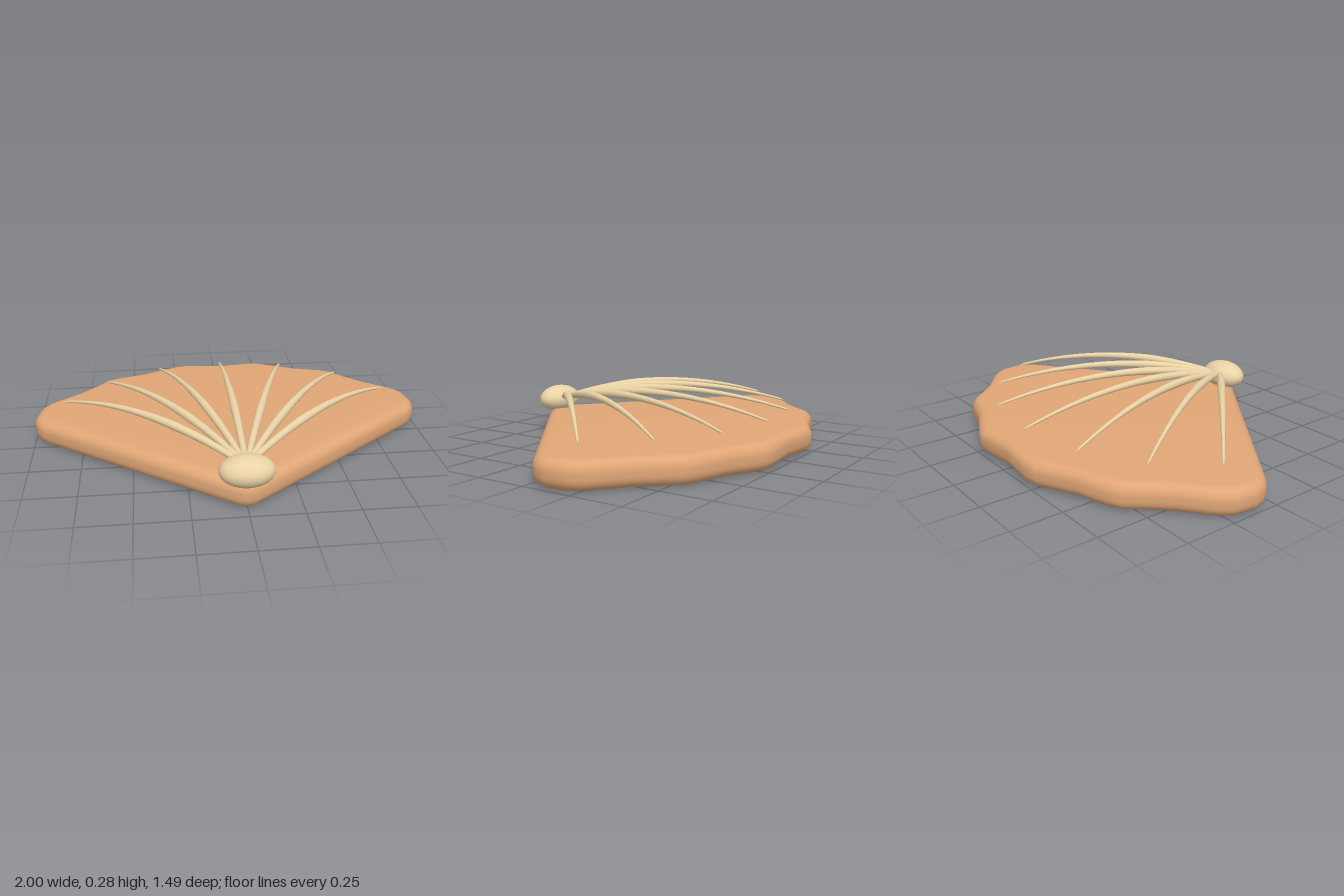
import * as THREE from 'three';
import { toCreasedNormals } from 'three/addons/utils/BufferGeometryUtils.js';

const clay = new THREE.MeshStandardMaterial({ color: 0xe0a676 });
const cream = new THREE.MeshStandardMaterial({ color: 0xead2a5 });

// Scalloped fan plate: half outline as [x, z] from the hinge tip round to the back, then mirrored
function createPlate() {
  const half = [
    [0.04, 0.69], [0.935, 0], [0.965, -0.03], [0.99, -0.07], [1, -0.12],
    [0.985, -0.22], [0.955, -0.27], [0.914, -0.31], [0.8, -0.4], [0.711, -0.497],
    [0.66, -0.56], [0.6, -0.595], [0.449, -0.64], [0.26, -0.735], [0.2, -0.748],
  ];
  const mirrored = half.map(([x, z]) => [-x, z]).reverse();
  const outline = [[0, 0.7], ...half, [0, -0.727], ...mirrored];
  const shape = new THREE.Shape(outline.map(([x, z]) => new THREE.Vector2(x, -z)));

  const bevel = 0.052;
  const height = 0.13;
  const geometry = new THREE.ExtrudeGeometry(shape, {
    depth: height - 2 * bevel,
    bevelThickness: bevel,
    bevelSize: bevel,
    bevelOffset: -bevel,
    bevelSegments: 6,
  });
  geometry.rotateX(-Math.PI / 2).translate(0, bevel, 0);
  const mesh = new THREE.Mesh(toCreasedNormals(geometry, 0.7), clay);
  mesh.name = 'fanPlate';
  return mesh;
}

// Arched rib, thickest a third of the way along and tapering to a point
function createRib(tipX, tipZ) {
  const start = new THREE.Vector3(0, 0.18, 0.62);
  const tip = new THREE.Vector3(tipX, 0.172, tipZ);
  const control = start.clone().lerp(tip, 0.5).setY(0.342);
  const curve = new THREE.QuadraticBezierCurve3(start, control, tip);

  const rings = 40;
  const sides = 12;
  const geometry = new THREE.TubeGeometry(curve, rings, 1, sides);
  const position = geometry.attributes.position;
  const vertex = new THREE.Vector3();
  for (let i = 0; i <= rings; i++) {
    const t = i / rings;
    const centre = curve.getPointAt(t);
    const radius = t === 1 ? 0
      : t < 0.35 ? THREE.MathUtils.lerp(0.014, 0.021, t / 0.35)
      : THREE.MathUtils.lerp(0.021, 0.005, (t - 0.35) / 0.65);
    for (let j = 0; j <= sides; j++) {
      const k = i * (sides + 1) + j;
      vertex.fromBufferAttribute(position, k).sub(centre).multiplyScalar(radius).add(centre);
      position.setXYZ(k, vertex.x, vertex.y, vertex.z);
    }
  }
  return new THREE.Mesh(geometry, cream);
}

export function createModel() {
  const model = new THREE.Group();
  model.name = 'scallopFan';
  model.add(createPlate());

  // Ribs fanning out from the hinge
  const ribs = new THREE.Group();
  ribs.name = 'ribs';
  const tips = [[0, -0.637], [0.352, -0.58], [0.642, -0.415], [0.845, -0.17]];
  for (const [x, z] of tips) {
    for (const side of x === 0 ? [1] : [1, -1]) {
      const rib = createRib(side * x, z);
      rib.name = 'rib';
      ribs.add(rib);
    }
  }
  model.add(ribs);

  // Hinge knob
  const knob = new THREE.Mesh(new THREE.SphereGeometry(1, 40, 28), cream);
  knob.name = 'hingeKnob';
  knob.scale.set(0.126, 0.072, 0.092);
  knob.position.set(0, 0.175, 0.652);
  model.add(knob);

  return model;
}
